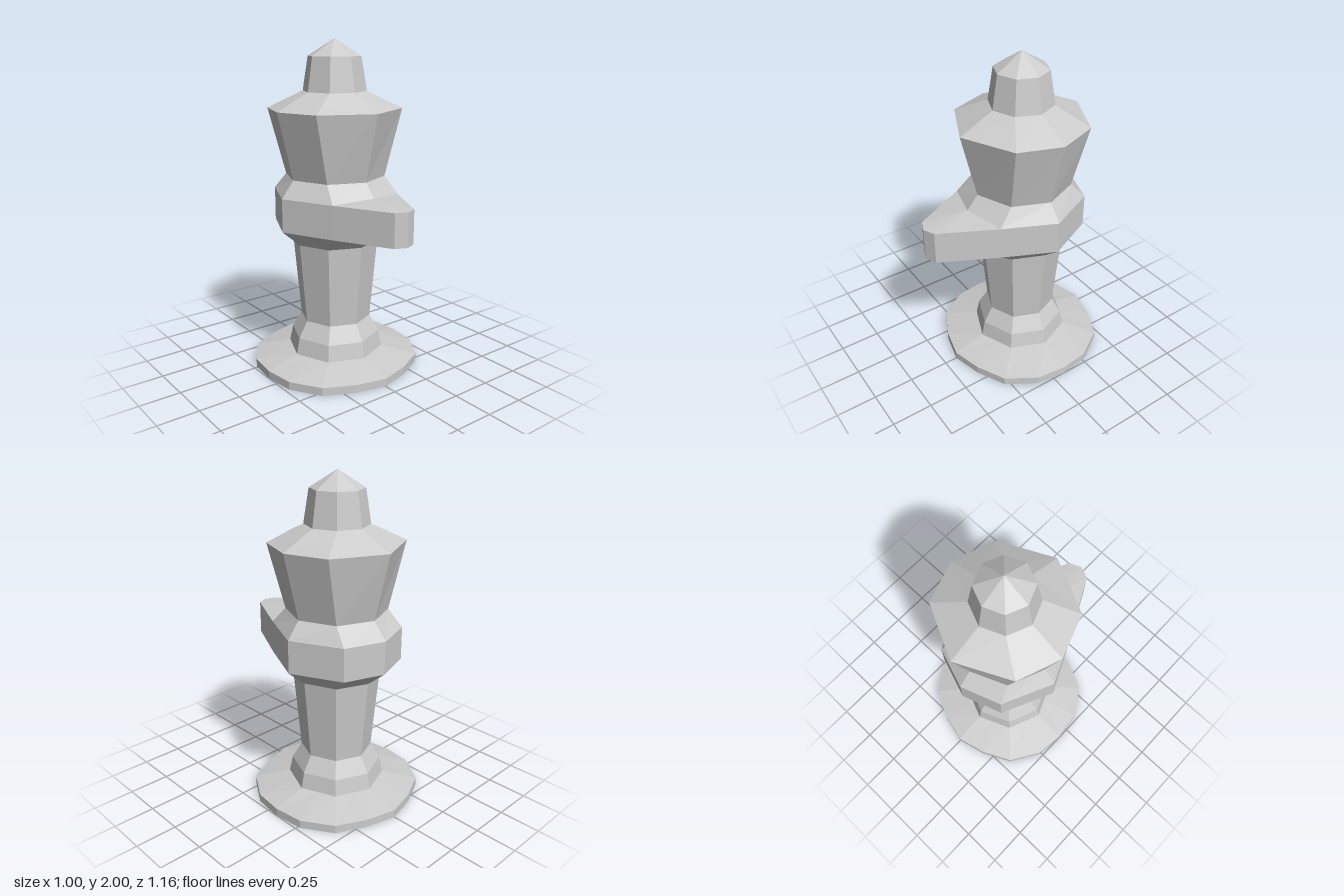
import * as THREE from 'three';

const S = Math.SQRT1_2;
const AXIS_Z = -0.08; // the round body sits slightly behind the centre

// Mirror a half outline (front to back, x >= 0) into a closed loop, as [x, z]
const mirrorX = half => [...half, ...half.slice(1, -1).reverse().map(([x, z]) => [-x, z])];
// Mirror a quarter outline (front to side) into a closed loop
const mirrorXZ = q => mirrorX([...q, ...q.slice(0, -1).reverse().map(([x, z]) => [x, -z])]);
const lift = (loop, y) => loop.map(([x, z]) => [x, y, z]);
const octagon = (r, y) => lift(mirrorXZ([[0, r], [r * S, r * S], [r, 0]]), y);

// Faces between successive rings, bottom to top
function loft(rings) {
  const out = [];
  for (let k = 0; k + 1 < rings.length; k++) {
    const a = rings[k], b = rings[k + 1], n = a.length;
    for (let i = 0; i < n; i++) {
      const j = (i + 1) % n;
      out.push(a[i], a[j], b[j], a[i], b[j], b[i]);
    }
  }
  return out;
}

// Triangles from a centre to a row of points; closed joins last to first
function fan(centre, pts, { closed = true, down = false } = {}) {
  const out = [];
  for (let i = 0; i < pts.length - (closed ? 0 : 1); i++) {
    const a = pts[i], b = pts[(i + 1) % pts.length];
    out.push(centre, ...(down ? [b, a] : [a, b]));
  }
  return out;
}

export function createModel() {
  const group = new THREE.Group();
  group.name = 'gamePiece';
  const material = new THREE.MeshStandardMaterial({ color: 0xcccccc, flatShading: true });

  function add(name, points) {
    const geometry = new THREE.BufferGeometry();
    geometry.setAttribute('position', new THREE.Float32BufferAttribute(points.flat(), 3));
    geometry.computeVertexNormals();
    const mesh = new THREE.Mesh(geometry, material);
    mesh.name = name;
    mesh.position.z = AXIS_Z;
    group.add(mesh);
  }

  // Sixteen-sided foot sloping up to the octagonal stem
  const footLoop = mirrorXZ([[0, 0.5], [0.185, 0.453], [0.364, 0.364], [0.477, 0.185], [0.5, 0]]);
  const stemFoot = octagon(0.295, 0.1);
  const stemFoot16 = stemFoot.flatMap((p, i) => {
    const q = stemFoot[(i + 1) % 8];
    return [p, p.map((v, k) => (v + q[k]) / 2)];
  });
  add('base', [
    ...fan([0, 0, 0], lift(footLoop, 0), { down: true }),
    ...loft([lift(footLoop, 0), lift(footLoop, 0.05), stemFoot16]),
  ]);

  // Stem
  add('stem', loft([stemFoot, octagon(0.275, 0.2), octagon(0.217, 0.3), octagon(0.262, 0.8)]));

  // Collar slopes below and above the band
  const back = [[0.24, 0.3], [0.38, 0], [0.24, -0.3], [0, -0.385]];
  const collarLoop = mirrorX([[0, 0.37], ...back]);
  const lower = lift(collarLoop, 0.9), upper = lift(collarLoop, 1.1);
  upper[0][1] = 1.12; // small peak where the spout meets the shoulder
  add('collarUnderside', loft([octagon(0.262, 0.8), lower]));
  add('collarShoulder', loft([upper, octagon(0.3, 1.2)]));

  // Upright band, running forward into the pointed spout
  const bandLoop = mirrorX([[0, 0.66], [0.07, 0.63], ...back]);
  add('collarBand', loft([lift(bandLoop, 0.9), lift(bandLoop, 1.1)]));
  const spout = [[-0.24, 0.3], [-0.07, 0.63], [0, 0.66], [0.07, 0.63], [0.24, 0.3]];
  add('spoutTop', fan(upper[0], lift(spout, 1.1), { closed: false }));
  add('spoutUnderside', fan(lower[0], lift(spout, 0.9), { closed: false, down: true }));

  // Flared head and its sloping top
  const rim = lift(mirrorXZ([[0, 0.4], [0.31, 0.25], [0.4, 0]]), 1.6);
  add('head', loft([octagon(0.3, 1.2), rim, octagon(0.19, 1.7)]));

  // Knob with a pointed cap
  const knobTop = octagon(0.158, 1.9);
  add('knob', loft([octagon(0.19, 1.7), knobTop]));
  add('knobCap', fan([0, 2, 0], knobTop));

  return group;
}
